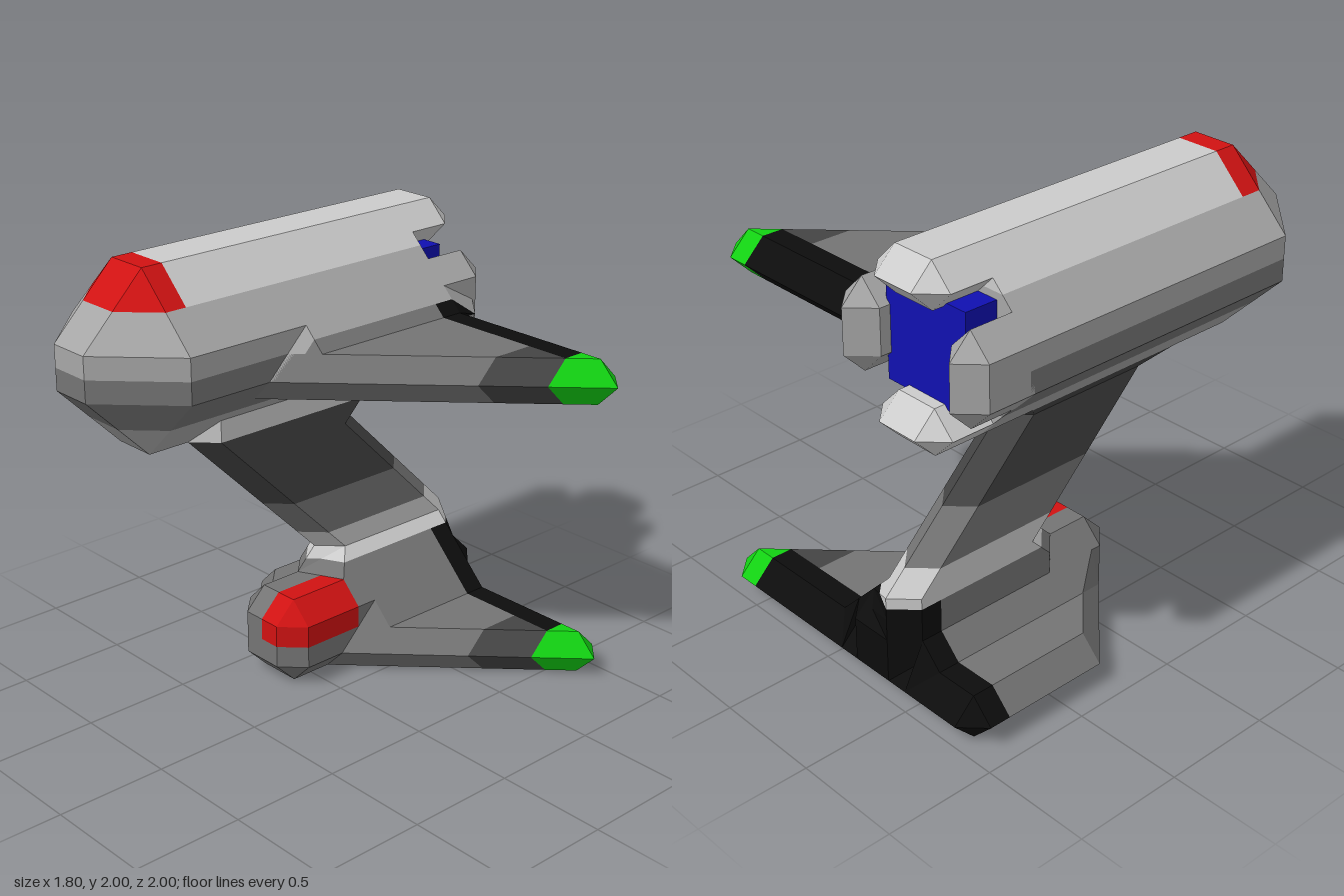
import * as THREE from 'three';

const LIGHT = 0xcccccc, MID = 0xa6a6a6, GREY = 0x747474, DARK = 0x444444, BLACK = 0x0c0c0c;
const RED = 0xd01212, GREEN = 0x12d012, BLUE = 0x1010b0;
const V = (x, y, z) => new THREE.Vector3(x, y, z);
const mats = {};
const mat = c => mats[c] ??= new THREE.MeshStandardMaterial({ color: c, flatShading: true });

// Splits convex polygons along an axis plane
function slice(polys, axis, at) {
  const out = [];
  for (const p of polys) for (const s of [1, -1]) {
    const q = [];
    p.forEach((a, i) => {
      const b = p[(i + 1) % p.length];
      const da = s * (a[axis] - at), db = s * (b[axis] - at);
      if (da >= -1e-6) q.push(a);
      if ((da > 1e-6 && db < -1e-6) || (da < -1e-6 && db > 1e-6)) q.push(a.clone().lerp(b, da / (da - db)));
    });
    if (q.length > 2 && q.some(v => s * (v[axis] - at) > 1e-6)) out.push(q);
  }
  return out;
}

// Skins a closed solid over cross-section rings, cuts it into colour zones, one mesh per colour
function solid(name, rings, colorAt, cuts = []) {
  const n = rings[0].length;
  let tris = [];
  for (let r = 0; r + 1 < rings.length; r++) for (let i = 0; i < n; i++) {
    const j = (i + 1) % n, [a, b] = [rings[r], rings[r + 1]];
    tris.push([a[i], a[j], b[j]], [a[i], b[j], b[i]]);
  }
  const last = rings[rings.length - 1];
  for (let i = 1; i + 1 < n; i++) {
    tris.push([rings[0][0], rings[0][i + 1], rings[0][i]], [last[0], last[i], last[i + 1]]);
  }
  const area = t => t[1].clone().sub(t[0]).cross(t[2].clone().sub(t[0])).length();
  tris = tris.filter(t => area(t) > 1e-7);
  const mid = rings.flat().reduce((s, v) => s.add(v), V(0, 0, 0)).divideScalar(n * rings.length);
  const volume = tris.reduce((s, t) => {
    const [a, b, c] = t.map(v => v.clone().sub(mid));
    return s + a.dot(b.cross(c));
  }, 0);
  if (volume < 0) tris.forEach(t => t.reverse());
  for (const [axis, at] of cuts) tris = slice(tris, axis, at);

  const zones = new Map();
  for (const p of tris) {
    const c = p.reduce((s, v) => s.add(v), V(0, 0, 0)).divideScalar(p.length);
    const color = colorAt(c);
    if (!zones.has(color)) zones.set(color, []);
    for (let i = 1; i + 1 < p.length; i++) zones.get(color).push(p[0], p[i], p[i + 1]);
  }
  const group = new THREE.Group();
  group.name = name;
  for (const [color, pts] of zones) {
    const g = new THREE.BufferGeometry().setFromPoints(pts);
    g.computeVertexNormals();
    const m = new THREE.Mesh(g, mat(color));
    m.name = name + 'Panel';
    group.add(m);
  }
  return group;
}

// Octagon across z: half size h, half flat f
const octagon = (x, y, z, h, f) =>
  [[h, -f], [h, f], [f, h], [-f, h], [-h, f], [-h, -f], [-f, -h], [f, -h]].map(([a, b]) => V(x + a, y + b, z));
const flat = (pts, y) => pts.map(([x, z]) => V(x, y, z));

// Plate with a sharp rim halfway up
const plate = (name, y, inner, rim, colorAt, cuts) =>
  solid(name, [flat(inner, y), flat(rim, y + 0.1), flat(inner, y + 0.2)], colorAt, cuts);

export function createModel() {
  const model = new THREE.Group();

  // Main hull with rounded nose
  model.add(solid('hull', [octagon(-0.5, 1.6, -0.7, 0.4, 0.1), octagon(-0.5, 1.6, 0.7, 0.4, 0.1), octagon(-0.5, 1.6, 1, 0.1, 0.1)],
    c => c.y > 1.85 ? (c.z > 0.6 ? RED : LIGHT) : c.y > 1.6 ? MID : c.y > 1.35 ? GREY : MID,
    [['y', 1.85], ['y', 1.6], ['y', 1.35], ['z', 0.6]]));

  // Four lobes around the engine
  const hex = [[0.2, 0], [0.1, 0.1], [-0.1, 0.1], [-0.2, 0], [-0.1, -0.1], [0.1, -0.1]];
  const tip = [[0.1, 0], [0.1, 0], [-0.1, 0], [-0.1, 0], [-0.1, 0], [0.1, 0]];
  for (let i = 0; i < 4; i++) {
    const ring = (pts, z) => pts.map(([x, y]) => V(x, y + 0.3, z));
    const lobe = solid('engineLobe', [ring(hex, -0.68), ring(hex, -0.9), ring(tip, -1)], () => i % 2 ? MID : LIGHT);
    lobe.position.set(-0.5, 1.6, 0);
    lobe.rotation.z = i * Math.PI / 2;
    model.add(lobe);
  }

  // Engine core
  const core = new THREE.Mesh(new THREE.BoxGeometry(0.44, 0.44, 0.2), mat(BLUE));
  core.name = 'engineCore';
  core.position.set(-0.5, 1.6, -0.75);
  model.add(core);

  // Upper wing
  model.add(plate('upperWing', 1.4,
    [[-0.3, 0.4], [0.8, -0.7], [0.8, -0.7], [-0.3, -0.7]],
    [[-0.3, 0.5], [0.9, -0.7], [0.8, -0.8], [-0.3, -0.8]],
    c => c.x > 0.7 ? GREEN : c.z < -0.6 && c.y > 1.401 ? BLACK : c.x > 0.5 ? DARK : GREY,
    [['x', 0.7], ['x', 0.5], ['z', -0.6]]));
  model.add(solid('upperWingRoot', [
    [V(-0.1, 1.7, 0.1), V(0, 1.6, 0.1), V(-0.1, 1.5, 0.3)],
    [V(-0.1, 1.7, -0.7), V(0, 1.6, -0.7), V(-0.1, 1.5, -0.7)],
    [V(-0.1, 1.6, -0.88), V(-0.05, 1.55, -0.85), V(-0.1, 1.5, -0.88)],
  ], c => c.x < -0.05 ? MID : c.z < -0.6 ? BLACK : GREY, [['x', -0.05], ['z', -0.6]]));

  // Swept strut between hull and base: y, right x, left x, front z, back z
  const section = ([y, x0, x1, zf, zb]) => flat(
    [[-0.4, zf], [x1, zf - 0.1], [x1, zb + 0.1], [-0.4, zb], [x0, zb + 0.1], [x0, zf - 0.1]], y);
  model.add(solid('strut', [
    [0.2, -0.5, -0.1, -0.1, -1], [0.3, -0.5, -0.1, -0.1, -1], [0.4, -0.5, -0.2, -0.1, -1],
    [0.5, -0.5, -0.3, -0.2, -1], [1.1, -0.5, -0.3, 0.4, -0.4],
    [1.2, -0.6, -0.3, 0.5, -0.5], [1.3, -0.5, -0.3, 0.5, -0.5],
  ].map(section),
  c => c.y > 1.2 ? LIGHT : c.y > 0.8 ? DARK : c.y > 0.6 ? GREY : c.y > 0.45 ? LIGHT : c.z < -0.8 ? BLACK : GREY,
  [['y', 1.2], ['y', 0.8], ['y', 0.6], ['y', 0.45], ['z', -0.8]]));

  // Base body with rounded front
  model.add(solid('baseBody', [
    octagon(-0.3, 0.2, -1, 0.1, 0.1), octagon(-0.3, 0.2, -0.9, 0.2, 0.1),
    octagon(-0.3, 0.2, 0.1, 0.2, 0.1), octagon(-0.3, 0.2, 0.2, 0.1, 0.1),
  ], c => c.z > -0.2 && c.x > -0.3 && c.y > 0.2 ? RED : c.z < -0.8 && c.y > 0.001 ? BLACK : GREY,
  [['x', -0.3], ['y', 0.2], ['z', -0.2], ['z', -0.8]]));

  // Lower wing plate
  model.add(plate('lowerWing', 0,
    [[0.6, -0.9], [-0.4, 0.1], [-0.8, -0.3], [-0.8, -0.9], [-0.8, -0.9], [0.6, -0.9]],
    [[0.7, -0.9], [-0.4, 0.2], [-0.9, -0.3], [-0.9, -0.9], [-0.8, -1], [0.6, -1]],
    c => c.x > 0.5 ? GREEN : c.z < -0.8 && c.y > 0.001 ? BLACK : c.x > 0.3 ? DARK : GREY,
    [['x', 0.5], ['x', 0.3], ['z', -0.8]]));

  // Fillets along both sides of the base body
  const baseColor = c => c.z < -0.8 ? BLACK : GREY;
  model.add(solid('lowerWingRoot', [
    [V(-0.1, 0.3, -0.3), V(0, 0.2, -0.3), V(-0.1, 0.1, -0.1)],
    [V(-0.1, 0.3, -0.9), V(0, 0.2, -0.9), V(-0.1, 0.1, -1)],
  ], baseColor, [['z', -0.8]]));
  model.add(solid('baseSideFillet', [
    [V(-0.5, 0.3, 0.05), V(-0.6, 0.2, -0.1), V(-0.5, 0.1, 0.1)],
    [V(-0.5, 0.3, -0.9), V(-0.6, 0.2, -0.9), V(-0.5, 0.1, -1)],
  ], baseColor, [['z', -0.8]]));

  return model;
}
